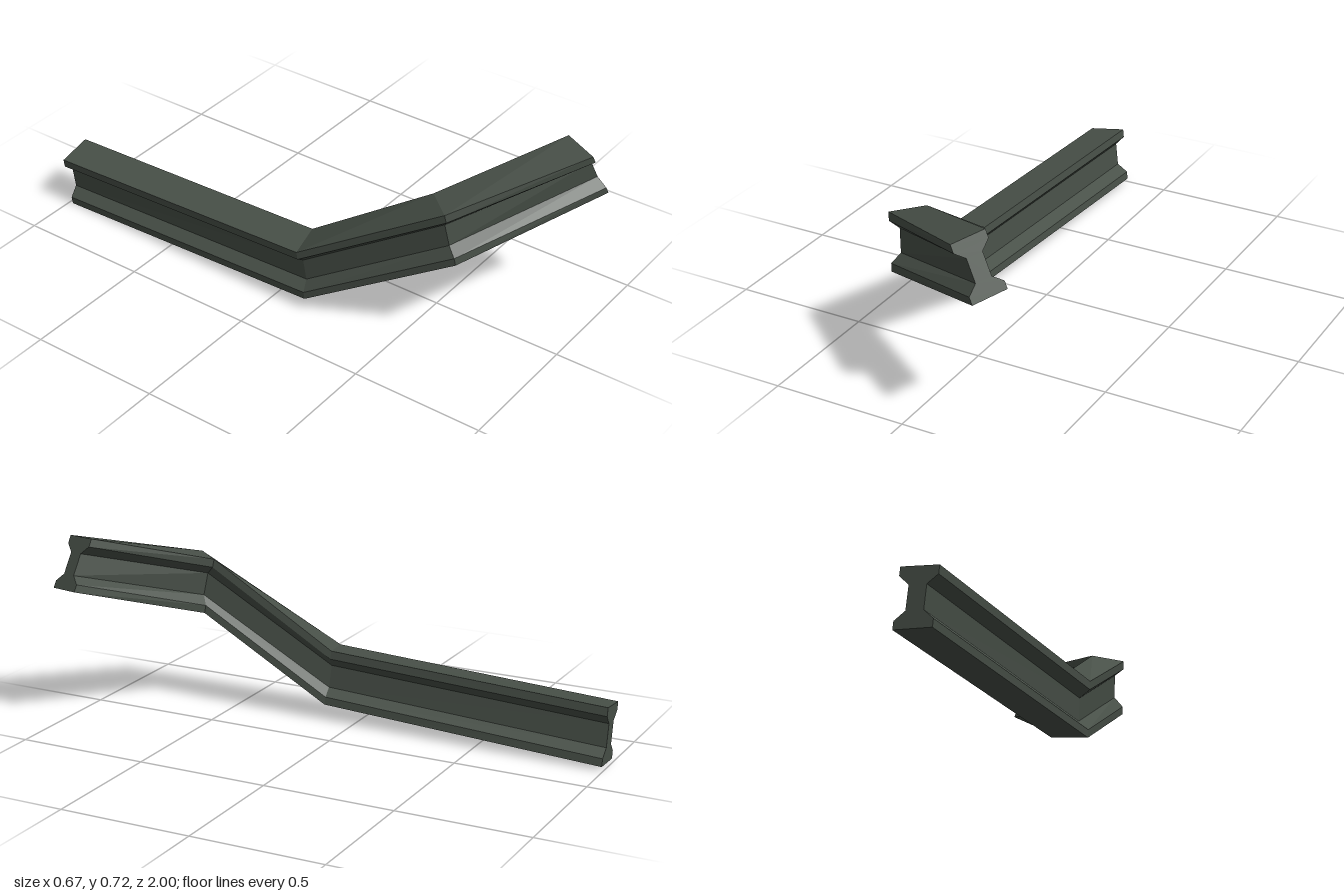
import * as THREE from 'three';

// Corner points of the beam at each station, back to front: top left, top right, bottom right, bottom left
const stations = [
  [[-0.326, 0.212, -0.99], [-0.19, 0.232, -1], [-0.163, 0.018, -0.995], [-0.3, 0.002, -0.985]],
  [[-0.337, 0.26, 0.125], [-0.205, 0.275, 0.097], [-0.184, 0.067, 0.115], [-0.315, 0.052, 0.143]],
  [[-0.24, 0.585, 0.67], [-0.152, 0.585, 0.567], [-0.13, 0.375, 0.6], [-0.213, 0.38, 0.705]],
  [[0.19, 0.71, 0.977], [0.243, 0.722, 0.85], [0.335, 0.54, 0.872], [0.28, 0.527, 1]],
];

// I-section outline as fractions across and down each station, clockwise
const half = [[1, 0], [1, 0.15], [0.73, 0.3], [0.73, 0.71], [1, 0.86], [1, 1]];
const outline = [...half, ...half.map(([a, t]) => [1 - a, t]).reverse()];

// Place the outline between the four corners of a station
function section(corners) {
  const [tl, tr, br, bl] = corners.map((c) => new THREE.Vector3(...c));
  return outline.map(([a, t]) => tl.clone().lerp(tr, a).lerp(bl.clone().lerp(br, a), t));
}

function beamGeometry() {
  const rings = stations.map(section);
  const points = [];
  const quad = (a, b, c, d) => points.push(a, b, c, a, c, d);
  const n = outline.length;

  // Side faces along the three lengths
  for (let s = 0; s < rings.length - 1; s++) {
    for (let i = 0; i < n; i++) {
      const j = (i + 1) % n;
      quad(rings[s][i], rings[s + 1][i], rings[s + 1][j], rings[s][j]);
    }
  }

  // End caps: strips joining each right-hand point to its mirrored left-hand point
  const back = rings[0];
  const front = rings[rings.length - 1];
  for (let i = 0; i < half.length - 1; i++) {
    const l = n - 1 - i;
    quad(back[i], back[i + 1], back[l - 1], back[l]);
    quad(front[l], front[l - 1], front[i + 1], front[i]);
  }

  const geometry = new THREE.BufferGeometry().setFromPoints(points);
  geometry.computeVertexNormals();
  return geometry;
}

export function createModel() {
  const steel = new THREE.MeshStandardMaterial({ color: 0x485048 });
  steel.name = 'dark grey steel';

  const beam = new THREE.Mesh(beamGeometry(), steel);
  beam.name = 'bentBeam';

  const model = new THREE.Group();
  model.name = 'bentGirder';
  model.add(beam);
  return model;
}
